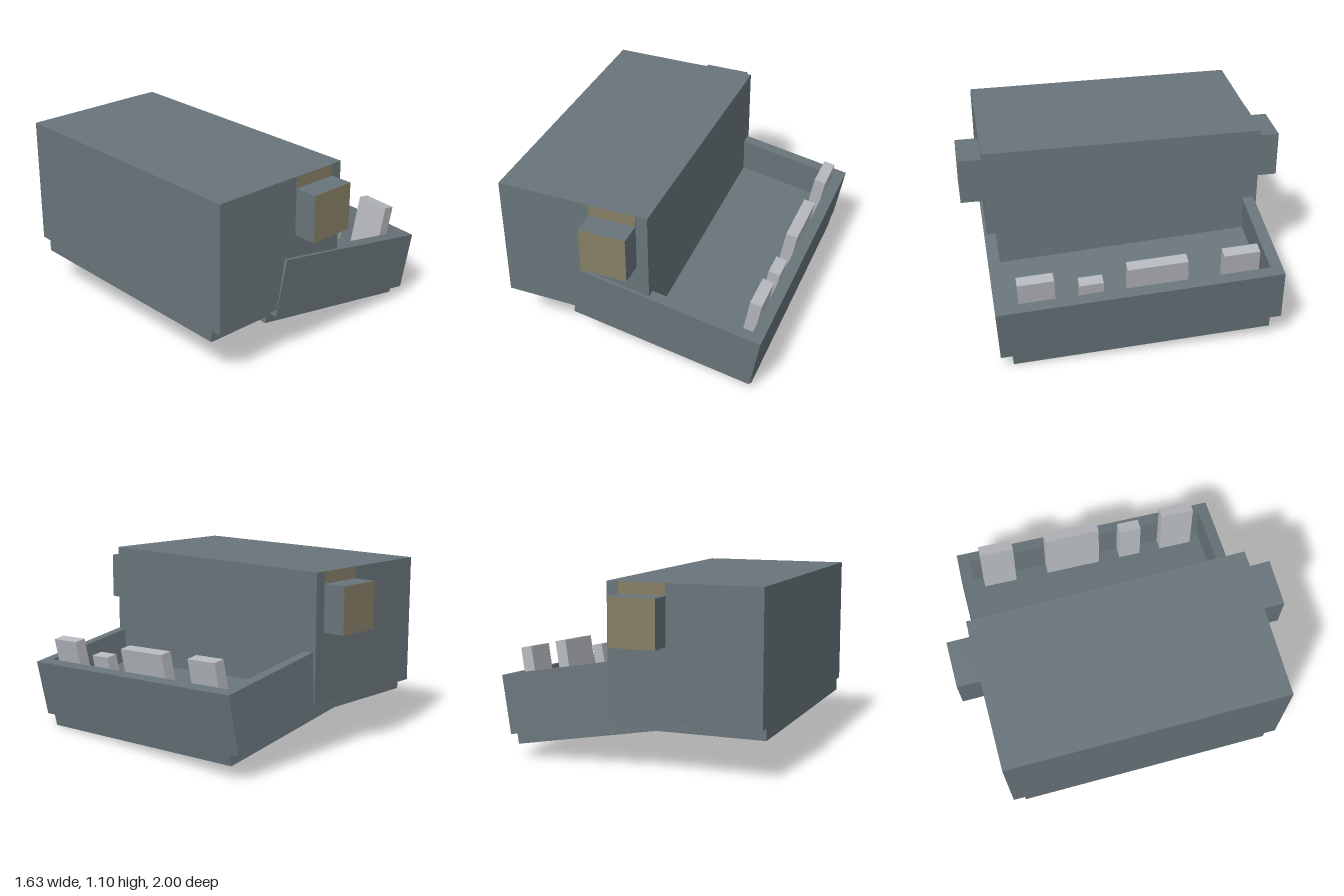
import * as THREE from 'three';

const U = 1 / 14; // module size all parts are based on

export function createModel() {
  const mat = (name, color) => {
    const m = new THREE.MeshStandardMaterial({ color });
    m.name = name;
    return m;
  };
  const grey = mat('slate grey', 0x68747a);
  const tan = mat('tan', 0x857d64);
  const pale = mat('pale grey', 0xb4b7bc);

  // Box from its limits, in modules
  const box = (parent, name, material, [x0, x1], [y0, y1], [z0, z1]) => {
    const g = new THREE.BoxGeometry((x1 - x0) * U, (y1 - y0) * U, (z1 - z0) * U);
    g.translate((x0 + x1) / 2 * U, (y0 + y1) / 2 * U, (z0 + z1) / 2 * U);
    const m = new THREE.Mesh(g, material);
    m.name = name;
    parent.add(m);
    return m;
  };

  const model = new THREE.Group();
  model.name = 'model';

  // Upper block, origin at its lower right edge (x = -0.818, y = 0.243)
  const upper = new THREE.Group();
  upper.name = 'upperBlock';
  upper.position.set(-0.818, 0.243, 0);
  model.add(upper);
  box(upper, 'upperBody', grey, [0, 13], [1, 12], [-12, 12]);
  box(upper, 'upperPlinth', grey, [0, 13], [0, 1], [-11, 11]);

  // Side lugs with tan end faces, and a tan panel behind each
  for (const s of [1, -1]) {
    const span = (a, b) => (s > 0 ? [a, b] : [-b, -a]);
    box(upper, s > 0 ? 'frontLug' : 'backLug', [grey, grey, grey, grey, tan, tan],
      [8, 12], [7, 11], span(12, 14));
    box(upper, s > 0 ? 'frontPanel' : 'backPanel', [grey, grey, grey, grey, tan, tan],
      [8, 12], [7, 12], span(11.97, 12.03));
  }

  // Lower tray, tilted down and rolled; origin at the middle of its outer top edge
  const tray = new THREE.Group();
  tray.name = 'tray';
  tray.position.set(0.8075, 0.465, 0.02);
  tray.rotation.set(THREE.MathUtils.degToRad(3), 0, THREE.MathUtils.degToRad(-10), 'ZYX');
  model.add(tray);

  const rect = (target, x0, x1, z) => {
    target.moveTo(x0 * U, -z * U);
    target.lineTo(x1 * U, -z * U);
    target.lineTo(x1 * U, z * U);
    target.lineTo(x0 * U, z * U);
    target.closePath();
    return target;
  };
  const outline = rect(new THREE.Shape(), -16, 0, 12);
  outline.holes.push(rect(new THREE.Path(), -15, -1, 11));
  const wallGeo = new THREE.ExtrudeGeometry(outline, { depth: 5 * U, bevelEnabled: false });
  wallGeo.rotateX(-Math.PI / 2).translate(0, -5 * U, 0);
  const walls = new THREE.Mesh(wallGeo, grey);
  walls.name = 'trayWalls';
  tray.add(walls);
  box(tray, 'trayFloor', grey, [-15, -1], [-5, -3], [-11, 11]);
  box(tray, 'trayPlinth', grey, [-16, 0], [-6, -5], [-11, 11]);

  // Teeth along the inside of the outer wall: z start, z end, height above rim
  [[-10, -7, 2], [-4, 1, 2], [3, 5, 1], [7, 10, 2]].forEach(([a, b, h], i) => {
    box(tray, `tooth${i + 1}`, pale, [-2, -1], [-3, h], [a, b]);
  });

  return model;
}
